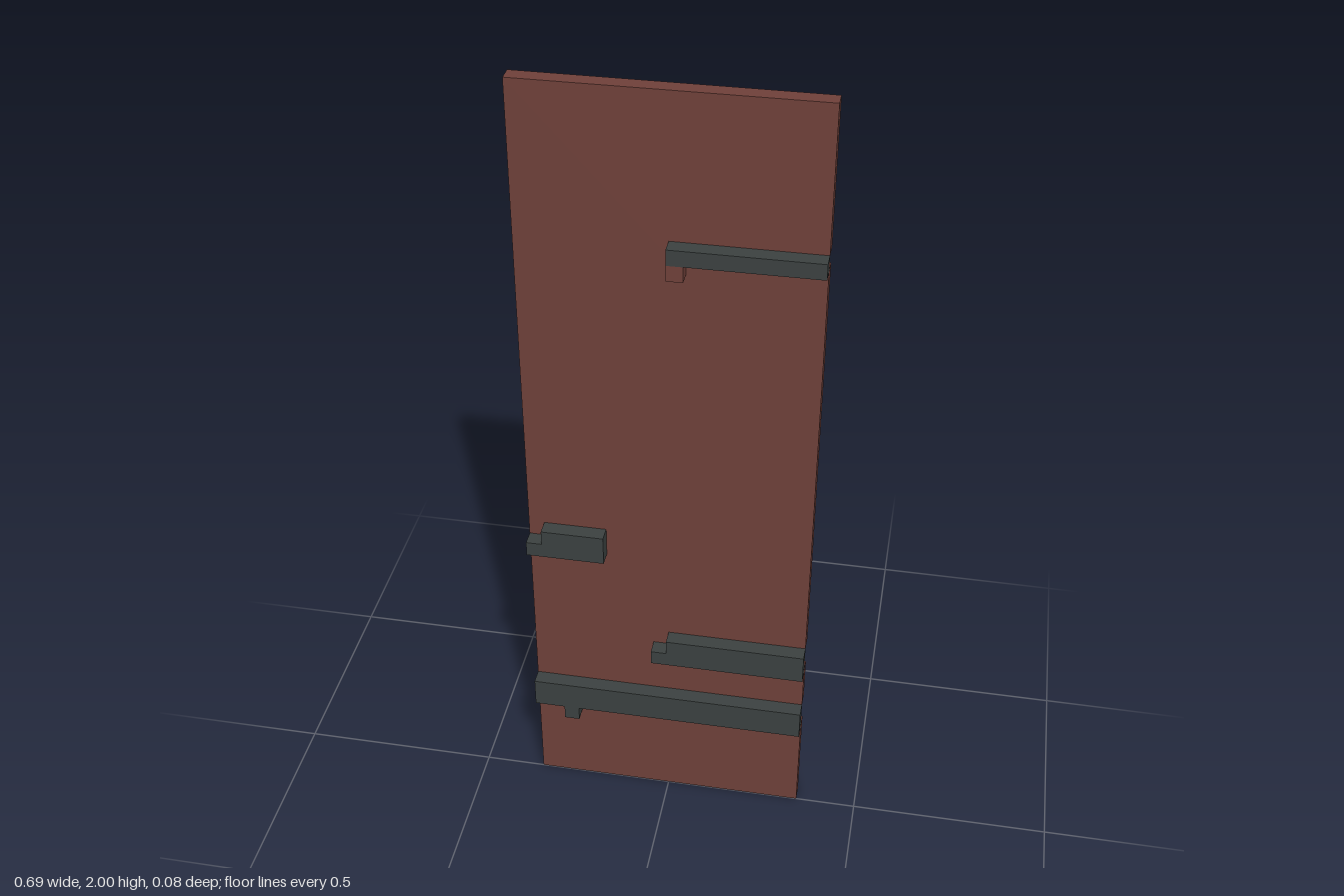
import * as THREE from 'three';

const U = 2 / 52; // grid cell: panel is 18 cells wide, 52 tall, 1 deep

const panelRed = new THREE.MeshStandardMaterial({ color: 0x70413a });
panelRed.name = 'panelRed';
const barGrey = new THREE.MeshStandardMaterial({ color: 0x3c4241 });
barGrey.name = 'barGrey';

const points = (cells) => cells.map(([x, y]) => new THREE.Vector2(x * U, y * U));

// One-cell-thick plate cut from an outline given in cells
function plate(name, material, z, outline, holes = []) {
  const shape = new THREE.Shape(points(outline));
  holes.forEach((h) => shape.holes.push(new THREE.Path(points(h))));
  const geometry = new THREE.ExtrudeGeometry(shape, { depth: U, bevelEnabled: false });
  const mesh = new THREE.Mesh(geometry, material);
  mesh.name = name;
  mesh.position.z = z * U;
  return mesh;
}

const rect = (x0, y0, x1, y1) => [[x0, y0], [x1, y0], [x1, y1], [x0, y1]];

export function createModel() {
  const group = new THREE.Group();
  group.name = 'slottedPanel';

  group.add(
    // Back panel: lower piece, and upper piece with two side slots, a window and a small tooth
    plate('lowerPanel', panelRed, -1, rect(-9, 0, 9, 7)),
    plate('upperPanel', panelRed, -1, [
      [-9, 9], [-6, 9], [-6, 8], [-5, 8], [-5, 9], [9, 9],
      [9, 12], [0, 12], [0, 14], [9, 14],
      [9, 42], [0, 42], [0, 43], [9, 43],
      [9, 52], [-9, 52],
    ], [rect(-8, 20, -4, 22)]),

    // Raised bars covering the slots
    plate('bottomBar', barGrey, 0, [[-9, 7], [-7, 7], [-7, 6], [-6, 6], [-6, 7], [9, 7], [9, 9], [-9, 9]]),
    plate('lowerBar', barGrey, 0, [[-1, 12], [9, 12], [9, 14], [0, 14], [0, 13], [-1, 13]]),
    plate('middleBar', barGrey, 0, [[-9, 20], [-4, 20], [-4, 22], [-8, 22], [-8, 21], [-9, 21]]),
    plate('topBar', barGrey, 0, rect(0, 42, 9, 43)),

    // Small block under the top bar
    plate('topBarBlock', panelRed, 0, rect(0, 41, 1, 42)),
  );
  return group;
}
